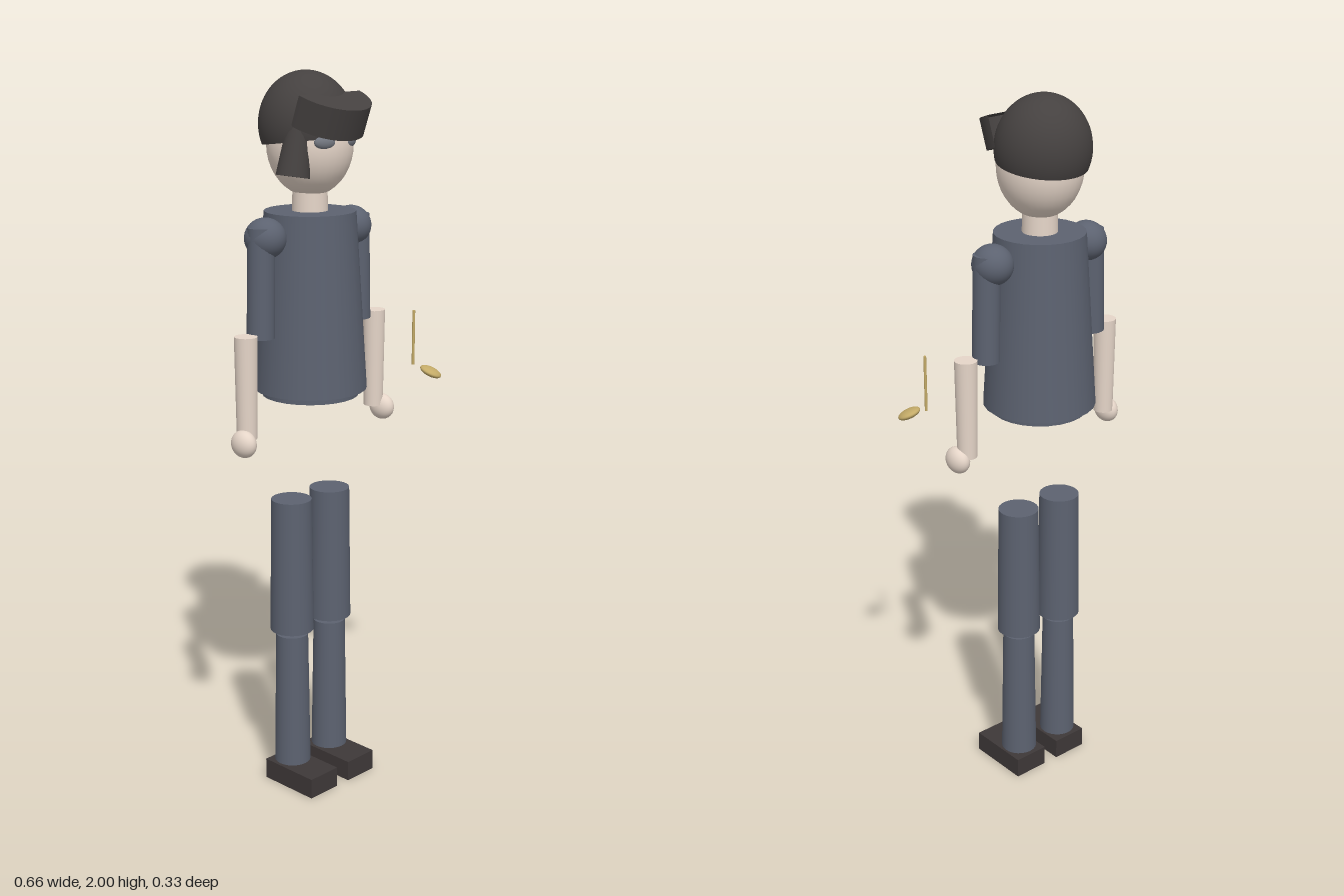
import * as THREE from 'three';

const material = (color, side = THREE.FrontSide) => new THREE.MeshStandardMaterial({ color, side });

export function createModel() {
  const model = new THREE.Group();
  model.name = 'figure';
  const cloth = material(0x5c6270);
  const skin = material(0xe5d5c8);
  const hair = material(0x454140, THREE.DoubleSide);
  const shoe = material(0x3e3838);
  const brass = material(0xc4ab68);
  const eyeGrey = material(0x757982);

  // The body axis
  const CX = -0.035, CZ = -0.011;

  const add = (name, geometry, mat, x, y, z) => {
    const mesh = new THREE.Mesh(geometry, mat);
    mesh.name = name;
    mesh.position.set(x, y, z);
    model.add(mesh);
    return mesh;
  };
  // Upright tapered cylinder between two heights
  const column = (name, mat, x, z, y0, y1, rBottom, rTop, sides = 24) =>
    add(name, new THREE.CylinderGeometry(rTop, rBottom, y1 - y0, sides), mat, x, (y0 + y1) / 2, z);
  const ellipsoid = (name, mat, x, y, z, rx, ry, rz) =>
    add(name, new THREE.SphereGeometry(1, 32, 20).scale(rx, ry, rz), mat, x, y, z);

  // Torso, hips and neck
  column('torso', cloth, CX, CZ, 1.155, 1.637, 0.154, 0.123);
  column('hips', cloth, CX, CZ, 1.137, 1.25, 0.132, 0.132);
  column('neck', skin, CX, CZ, 1.62, 1.72, 0.048, 0.046);

  // Head and eyes
  ellipsoid('head', skin, CX, 1.81, CZ, 0.112, 0.135, 0.118);

  // Hair cap, its rim higher at the front
  const cap = add('hairCap',
    new THREE.SphereGeometry(1, 40, 24, 0, Math.PI * 2, 0, 1.87).scale(0.126, 0.14, 0.128),
    hair, CX, 1.86, -0.023);
  cap.rotation.x = -0.13;

  // Fringe: a half drum tipped forward
  const fringe = add('fringe',
    new THREE.CylinderGeometry(0.112, 0.112, 0.083, 32, 1, false, -Math.PI / 2, Math.PI),
    hair, CX, 1.906, 0.047);
  fringe.rotation.x = 0.35;

  // Flared lock on the right side of the head
  const lock = add('sideLock', new THREE.CylinderGeometry(0.03, 0.045, 0.14, 20), hair, -0.125, 1.806, 0.028);
  lock.rotation.z = -0.18;

  for (const [side, s] of [['right', -1], ['left', 1]]) {
    const at = (offset) => CX + s * offset;

    ellipsoid(side + 'Eye', eyeGrey, at(0.046), 1.825, 0.088, 0.03, 0.019, 0.014).rotation.y = s * 0.35;

    // Arm
    ellipsoid(side + 'Shoulder', cloth, at(0.162), 1.58, -0.014, 0.054, 0.054, 0.057);
    column(side + 'UpperArm', cloth, at(0.182), CZ, 1.32, 1.61, 0.037, 0.036).rotation.z = s * 0.02;
    column(side + 'Forearm', skin, at(0.246), -0.003, 1.06, 1.335, 0.027, 0.031);
    ellipsoid(side + 'Hand', skin, at(0.269), 1.052, 0.009, 0.028, 0.037, 0.04);

    // Leg
    column(side + 'Thigh', cloth, at(0.075), CZ, 0.467, 0.851, 0.061, 0.056);
    column(side + 'Shin', cloth, at(0.075), CZ, 0.064, 0.453, 0.051, 0.045);
    add(side + 'Foot', new THREE.BoxGeometry(0.104, 0.058, 0.184), shoe, at(0.075), 0.029, 0.024);
  }

  // Hanging pendant with its thin rod
  column('pendantRod', brass, 0.275, 0.089, 1.18, 1.335, 0.004, 0.004, 10);
  const pendant = ellipsoid('pendant', brass, 0.298, 1.163, 0.135, 0.032, 0.012, 0.032);
  pendant.rotation.set(0.35, 0, -0.25);

  return model;
}
